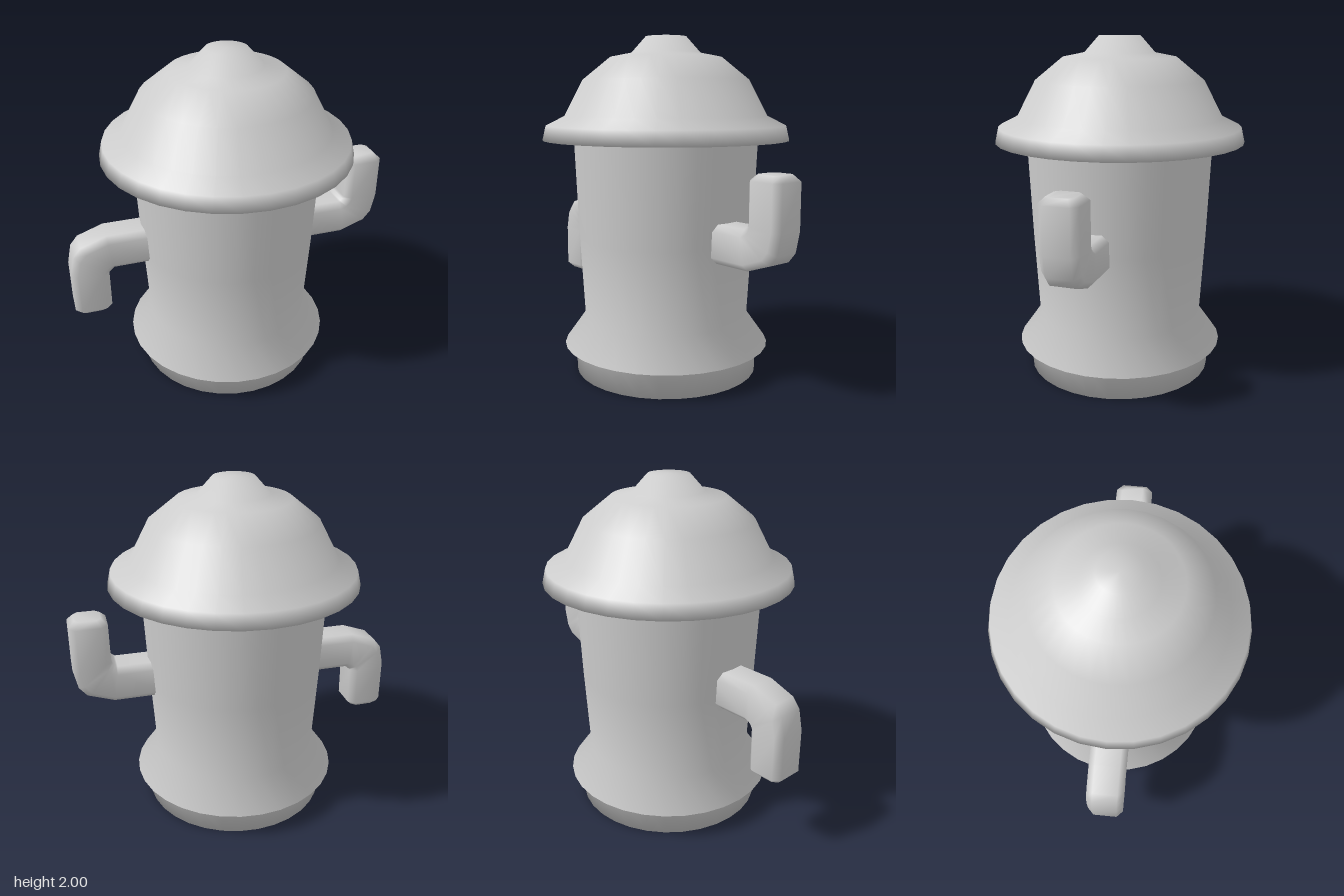
import * as THREE from 'three';

const grey = new THREE.MeshStandardMaterial({ color: 0xcccccc });
grey.name = 'light grey';

// Smooth turned part from [radius, height] points, bottom to top
function turned(name, profile) {
  const points = profile.map(([r, y]) => new THREE.Vector2(r, y));
  const mesh = new THREE.Mesh(new THREE.LatheGeometry(points, 32), grey);
  mesh.name = name;
  return mesh;
}

// Bent arm: chamfered square sections swept along inner/outer bend points
function armGeometry() {
  // inner x, inner y, outer x, outer y, half depth
  const sections = [
    [0.45, 0.96, 0.45, 0.74, 0.11],
    [0.715, 0.96, 0.745, 0.74, 0.11],
    [0.725, 0.967, 0.9, 0.795, 0.11],
    [0.737, 0.978, 0.945, 0.85, 0.11],
    [0.748, 0.99, 0.97, 0.97, 0.11],
    [0.75, 1.225, 0.97, 1.225, 0.11],
    [0.785, 1.26, 0.935, 1.26, 0.075],
  ];
  const k = 0.66; // flat share of each side
  const ring = [[1, -k], [1, k], [k, 1], [-k, 1], [-1, k], [-1, -k], [-k, -1], [k, -1]];
  const n = ring.length;
  const positions = [];
  const index = [];
  sections.forEach(([ix, iy, ox, oy, d], s) => {
    for (const [u, w] of ring) {
      const t = (u + 1) / 2;
      positions.push(ix + (ox - ix) * t, iy + (oy - iy) * t, -w * d);
    }
    if (s === 0) return;
    for (let i = 0; i < n; i++) {
      const j = (i + 1) % n;
      const a = (s - 1) * n;
      const b = s * n;
      index.push(a + i, a + j, b + j, a + i, b + j, b + i);
    }
  });
  // end cap
  const last = (sections.length - 1) * n;
  for (let i = 1; i < n - 1; i++) index.push(last, last + i, last + i + 1);
  const geometry = new THREE.BufferGeometry();
  geometry.setAttribute('position', new THREE.Float32BufferAttribute(positions, 3));
  geometry.setIndex(index);
  geometry.computeVertexNormals();
  return geometry;
}

export function createModel() {
  const model = new THREE.Group();
  model.name = 'capped figure';

  // Body with foot ring and flared skirt
  model.add(turned('body', [
    [0, 0], [0.55, 0], [0.55, 0.145], [0.62, 0.165],
    [0.495, 0.34], [0.522, 0.82], [0.547, 1.4],
  ]));

  // Domed cap with brim and knob
  model.add(turned('cap', [
    [0.54, 1.4], [0.73, 1.4], [0.71, 1.485], [0.6, 1.54],
    [0.49, 1.75], [0.33, 1.88], [0.205, 1.905], [0.12, 2], [0, 2],
  ]));

  // Left arm bends up, right arm is the same turned half round
  const geometry = armGeometry();
  const leftArm = new THREE.Mesh(geometry, grey);
  leftArm.name = 'leftArm';
  const rightArm = new THREE.Mesh(geometry, grey);
  rightArm.name = 'rightArm';
  rightArm.rotation.z = Math.PI;
  rightArm.position.y = 1.725;
  model.add(leftArm, rightArm);

  return model;
}
